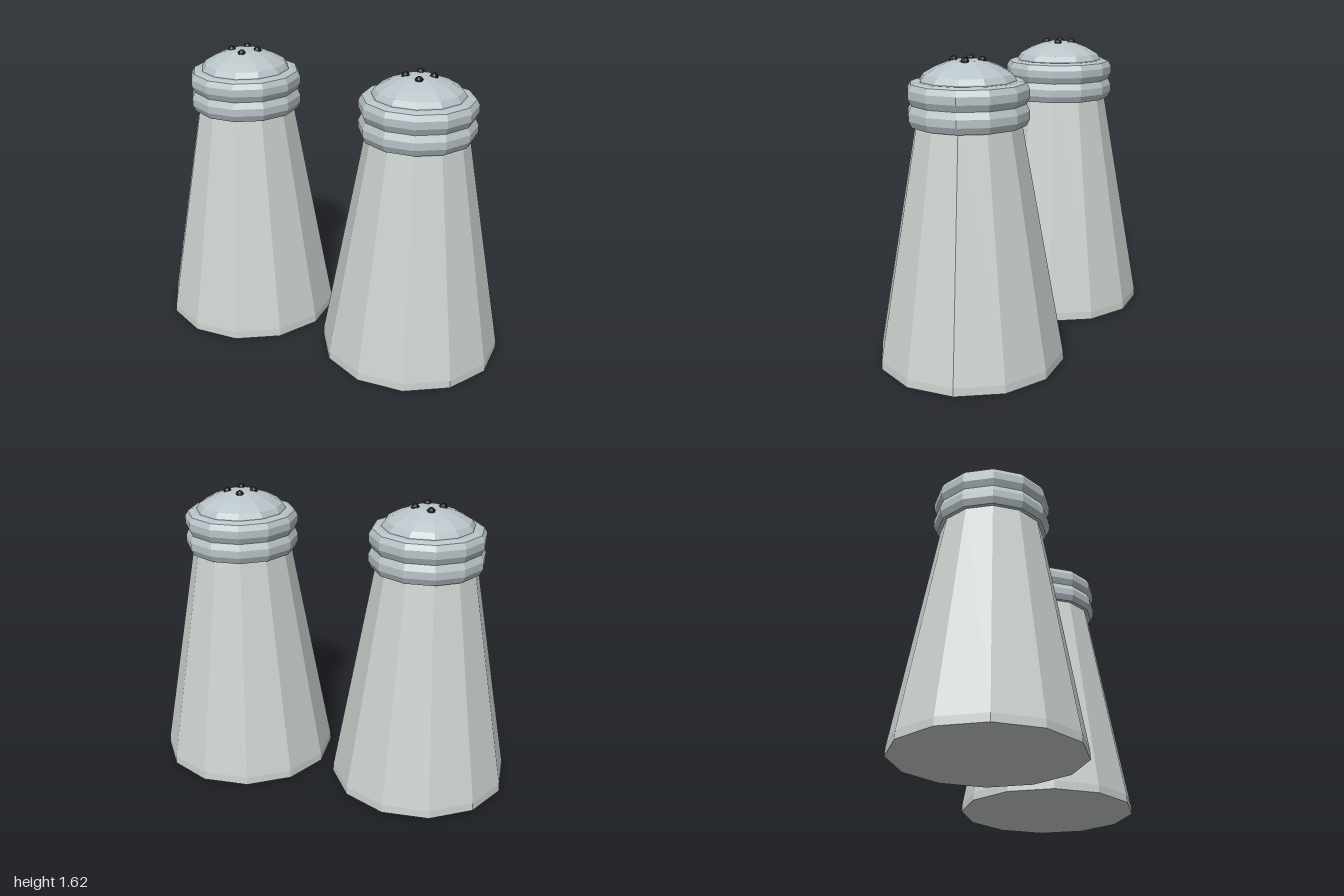
import * as THREE from 'three';

const SIDES = 12;
const material = (color) => new THREE.MeshStandardMaterial({ color, flatShading: true });

// Twelve-sided turned part from [radius, height] pairs, bottom to top
function turned(name, profile, mat) {
  const points = profile.map(([r, y]) => new THREE.Vector2(r, y));
  const mesh = new THREE.Mesh(new THREE.LatheGeometry(points, SIDES), mat);
  mesh.name = name;
  return mesh;
}

function createShaker(name, mats) {
  const shaker = new THREE.Group();
  shaker.name = name;

  // Faceted tapering body with a short upright foot and closed base
  shaker.add(turned('body', [[0, 0], [0.5, 0], [0.498, 0.045], [0.277, 1.27], [0, 1.27]], mats.body));

  // Collar of two rounded rings
  shaker.add(turned('collar', [
    [0.26, 1.27], [0.298, 1.27], [0.315, 1.305], [0.315, 1.345], [0.298, 1.38],
    [0.315, 1.415], [0.315, 1.455], [0.298, 1.485], [0.272, 1.495], [0.23, 1.495],
  ], mats.cap));

  // Domed top with a steep lower edge
  shaker.add(turned('dome', [
    [0.25, 1.49], [0.248, 1.5], [0.23, 1.528], [0.165, 1.565], [0.08, 1.597], [0, 1.601],
  ], mats.cap));

  // Four dark pouring holes
  const holes = new THREE.Group();
  holes.name = 'pouringHoles';
  const dot = new THREE.SphereGeometry(0.022, 10, 8);
  for (let i = 0; i < 4; i++) {
    const a = (i * Math.PI) / 2;
    const hole = new THREE.Mesh(dot, mats.hole);
    hole.name = 'hole';
    hole.position.set(0.073 * Math.cos(a), 1.594, 0.073 * Math.sin(a));
    holes.add(hole);
  }
  shaker.add(holes);
  return shaker;
}

export function createModel() {
  const model = new THREE.Group();
  model.name = 'shakerPair';
  const mats = { body: material(0xcdd3d0), cap: material(0xb9c4c8), hole: material(0x1a1a1c) };

  // Two matching shakers, staggered front to back
  for (const [name, side] of [['leftShaker', 1], ['rightShaker', -1]]) {
    const shaker = createShaker(name, mats);
    shaker.position.set(0.5 * side, 0, 0.183 * side);
    model.add(shaker);
  }
  return model;
}
